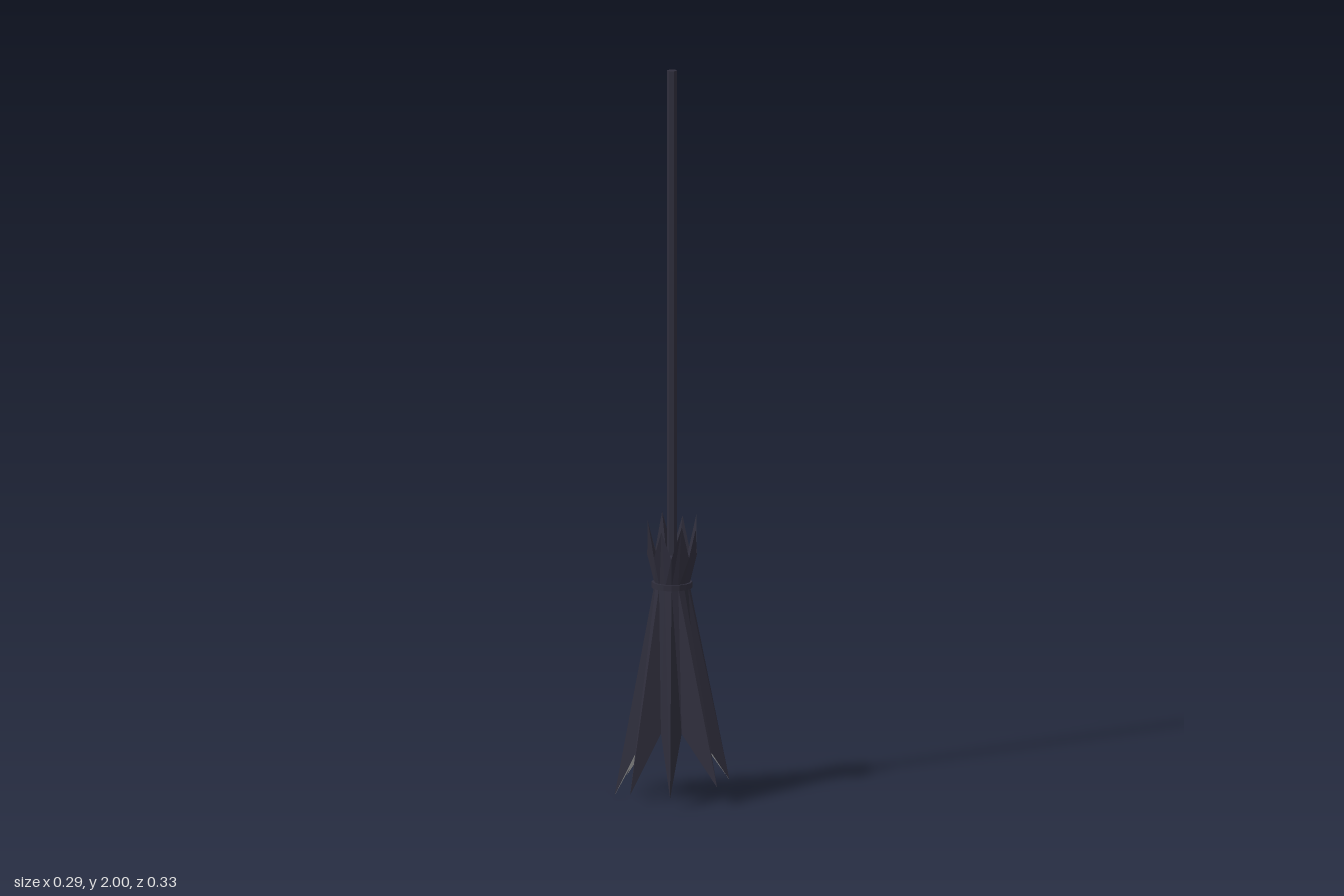
import * as THREE from 'three';

const dark = new THREE.MeshStandardMaterial({ color: 0x2f2e3c });
dark.name = 'darkWood';
const grey = new THREE.MeshStandardMaterial({ color: 0xb4b4b4 });
grey.name = 'innerGrey';
dark.flatShading = grey.flatShading = true;

const STEP = Math.PI / 4;

// Point at an angle around the handle
const at = (a, r, y) => [Math.cos(a) * r, y, Math.sin(a) * r];

function geometryFrom(triangles, flip) {
  const points = triangles.flatMap(([a, b, c]) => (flip ? [a, c, b] : [a, b, c])).flat();
  const g = new THREE.BufferGeometry();
  g.setAttribute('position', new THREE.Float32BufferAttribute(points, 3));
  g.computeVertexNormals();
  return g;
}

// Eight-pointed clump: ridged sides from the waist to the tips, star-shaped end
function clump(name, o, endMaterial) {
  const sides = [], end = [];
  const half = STEP / 2;
  const centre = [0, o.valleyY, 0];
  o.tips.forEach(([r, y], k) => {
    const a = o.start + k * STEP;
    const [wL, w, wR] = [a - half, a, a + half].map((t) => at(t, o.waistR, o.waistY));
    const L = at(a - half, o.valleyR, o.valleyY);
    const R = at(a + half, o.valleyR, o.valleyY);
    const T = at(a, r, y);
    const I = at(a, o.innerR, o.valleyY);
    sides.push([wL, L, w], [L, T, w], [w, T, wR], [T, R, wR]);
    end.push([L, I, T], [I, R, T], [centre, I, L], [centre, R, I]);
  });
  const down = o.valleyY < o.waistY;
  const group = new THREE.Group();
  group.name = name;
  const outer = new THREE.Mesh(geometryFrom(sides, down), dark);
  outer.name = name + 'Sides';
  const inner = new THREE.Mesh(geometryFrom(end, down), endMaterial);
  inner.name = name + 'End';
  group.add(outer, inner);
  return group;
}

export function createModel() {
  const model = new THREE.Group();
  model.name = 'broom';

  // Six-sided handle
  const handle = new THREE.Mesh(new THREE.CylinderGeometry(0.0135, 0.0135, 1.4, 6), dark);
  handle.name = 'handle';
  handle.position.y = 1.3;
  model.add(handle);

  // Long bristles, with tips of uneven length
  model.add(clump('bristles', {
    start: STEP / 2, waistR: 0.048, waistY: 0.58,
    valleyR: 0.073, valleyY: 0.185, innerR: 0.055,
    tips: [[0.155, 0.045], [0.177, 0.05], [0.177, 0.03], [0.155, 0.025],
      [0.155, 0], [0.177, 0.03], [0.177, 0.05], [0.155, 0.04]],
  }, grey));

  // Short tuft above the binding
  model.add(clump('tuft', {
    start: 0, waistR: 0.046, waistY: 0.58,
    valleyR: 0.067, valleyY: 0.665, innerR: 0.045,
    tips: [[0.07, 0.77], [0.07, 0.74], [0.075, 0.755], [0.07, 0.74],
      [0.07, 0.765], [0.07, 0.74], [0.075, 0.77], [0.07, 0.76]],
  }, dark));

  // Binding around the waist
  const binding = new THREE.Mesh(new THREE.CylinderGeometry(0.055, 0.055, 0.016, 16), dark);
  binding.name = 'binding';
  binding.position.y = 0.583;
  model.add(binding);

  return model;
}
